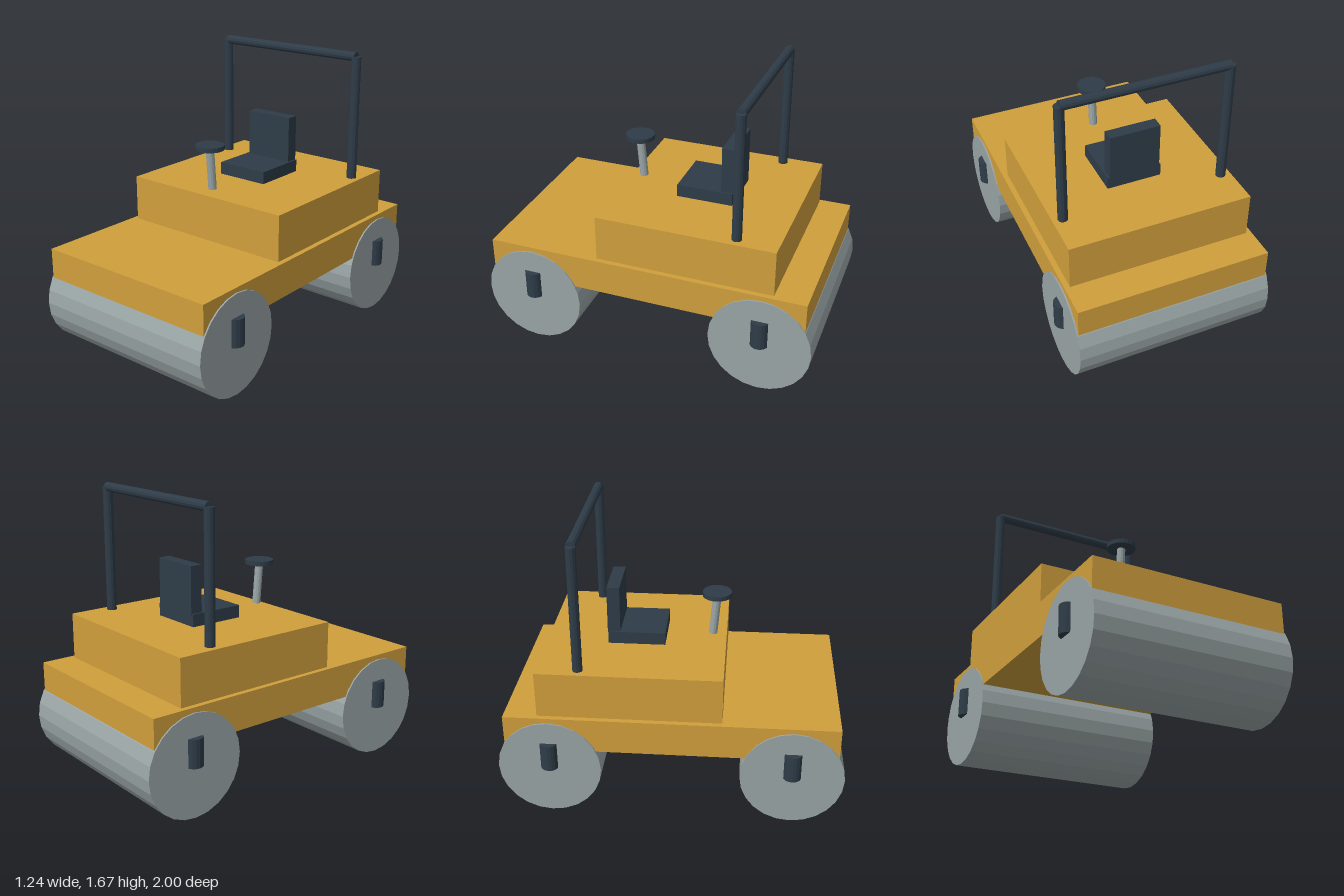
import * as THREE from 'three';

export function createModel() {
  const paint = (name, color, flatShading = true) => {
    const m = new THREE.MeshStandardMaterial({ color, flatShading });
    m.name = name;
    return m;
  };
  const yellow = paint('yellow paint', 0xd09f3c);
  const steel = paint('grey steel', 0x9aa5a6);
  const dark = paint('dark slate', 0x2e3c48);

  const model = new THREE.Group();
  model.name = 'roadRoller';

  const add = (name, geometry, material, x, y, z) => {
    const mesh = new THREE.Mesh(geometry, material);
    mesh.name = name;
    mesh.position.set(x, y, z);
    model.add(mesh);
    return mesh;
  };
  // Box given by its half width and its y and z limits
  const box = (name, material, halfX, y0, y1, z0, z1) =>
    add(name, new THREE.BoxGeometry(halfX * 2, y1 - y0, z1 - z0), material, 0, (y0 + y1) / 2, (z0 + z1) / 2);
  const cylinder = (radius, length, sides) => new THREE.CylinderGeometry(radius, radius, length, sides);

  // Body
  box('chassis', yellow, 0.576, 0.42, 0.628, -0.956, 0.96);
  box('upperBody', yellow, 0.545, 0.628, 0.902, -0.763, 0.294);

  // Drums with a bracket at each end
  for (const [end, z] of [['front', 0.7], ['rear', -0.7]]) {
    add(end + 'Drum', cylinder(0.3, 1.17, 24), steel, 0, 0.3, z).rotation.z = Math.PI / 2;
    for (const side of [1, -1]) {
      add(end + (side > 0 ? 'Left' : 'Right') + 'Bracket', cylinder(0.053, 0.165, 16), dark, side * 0.568, 0.3825, z);
    }
  }

  // Seat
  box('seatBase', dark, 0.164, 0.91, 0.984, -0.394, -0.06);
  box('seatBack', dark, 0.152, 0.975, 1.26, -0.398, -0.324);

  // Steering
  add('steeringColumn', cylinder(0.025, 0.245, 12), steel, 0, 1.042, 0.223).rotation.x = 0.085;
  add('steeringWheel', cylinder(0.086, 0.027, 20), dark, 0, 1.177, 0.233);

  // Roll bar
  for (const side of [1, -1]) {
    add(side > 0 ? 'leftRollPost' : 'rightRollPost', cylinder(0.029, 0.745, 12), dark, side * 0.485, 1.2725, -0.524);
  }
  add('rollBarTop', cylinder(0.028, 0.97, 12), dark, 0, 1.644, -0.524).rotation.z = Math.PI / 2;

  return model;
}
